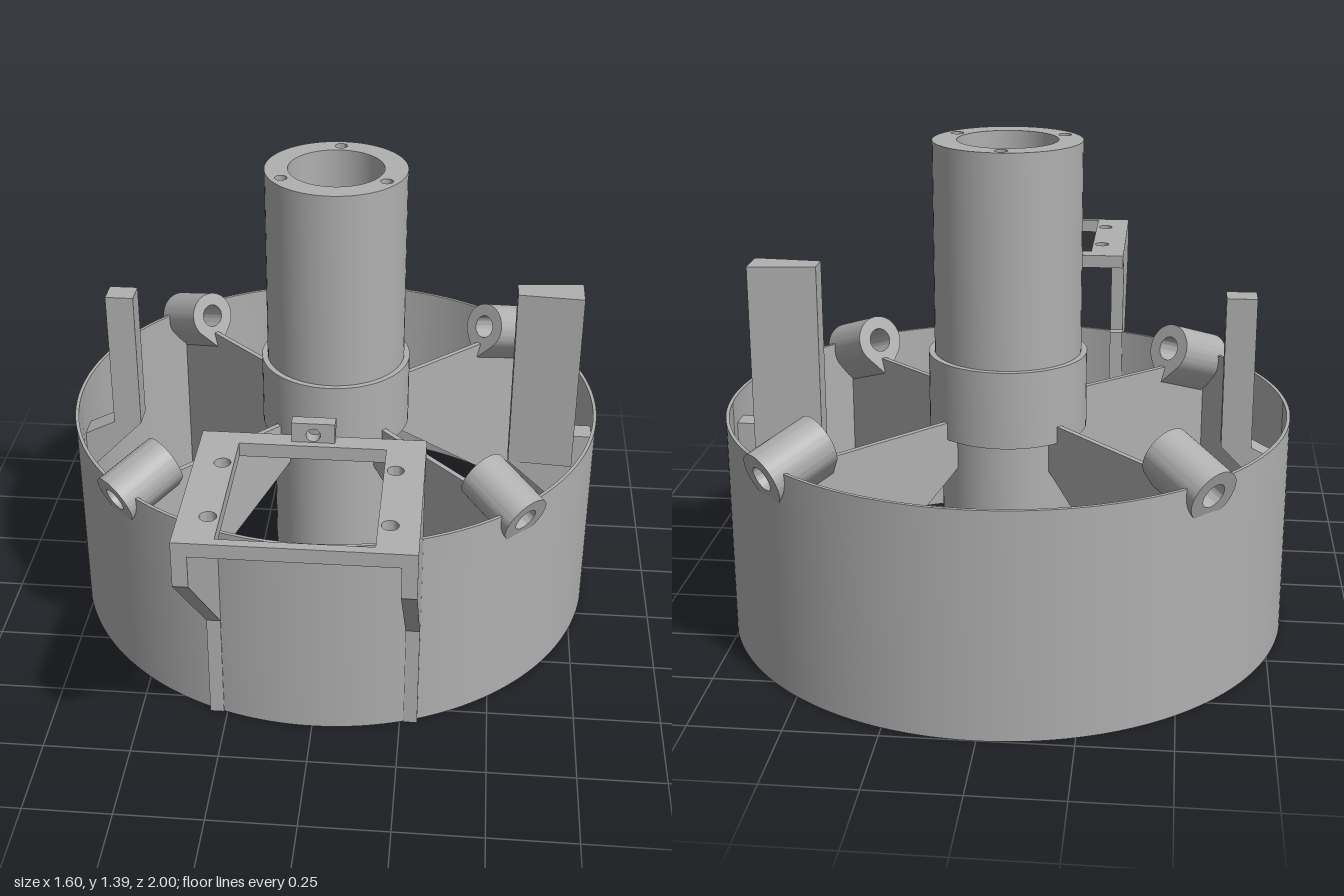
import * as THREE from 'three';
import { toCreasedNormals } from 'three/addons/utils/BufferGeometryUtils.js';

const CZ = -0.2; // z of the drum axis
const WALL_TOP = 0.63;

export function createModel() {
  const grey = new THREE.MeshStandardMaterial({ color: 0xb0b0b0 });
  grey.name = 'plain grey';
  const model = new THREE.Group();
  model.name = 'drumAssembly';

  const add = (name, geometry, parent = model) => {
    const mesh = new THREE.Mesh(toCreasedNormals(geometry, 0.5), grey);
    mesh.name = name;
    parent.add(mesh);
    return mesh;
  };
  const poly = (pts) => new THREE.Shape(pts.map(([x, y]) => new THREE.Vector2(x, y)));
  const rect = (x0, y0, x1, y1) => poly([[x0, y0], [x1, y0], [x1, y1], [x0, y1]]);
  const circle = (x, y, r) => {
    const s = new THREE.Shape();
    s.absarc(x, y, r, 0, Math.PI * 2, false);
    return s;
  };
  const extrude = (shape, depth, curveSegments = 16) =>
    new THREE.ExtrudeGeometry(shape, { depth, bevelEnabled: false, curveSegments });
  // Plan shape drawn in x and z, extruded downward from y = top
  const plan = (shape, top, depth, seg) =>
    extrude(shape, depth, seg).rotateX(Math.PI / 2).translate(0, top, 0);
  // Hollow turned part from outer and inner radius
  const sleeve = (outer, inner, y0, y1, segments = 64) =>
    new THREE.LatheGeometry(
      [[outer, y0], [outer, y1], [inner, y1], [inner, y0], [outer, y0]]
        .map(([r, y]) => new THREE.Vector2(r, y)), segments);

  const drum = new THREE.Group();
  drum.name = 'drum';
  drum.position.z = CZ;
  model.add(drum);

  // Thin outer wall, notched at the four diagonals where the sockets pass through
  const wall = sleeve(0.8, 0.79, 0, WALL_TOP, 240);
  const p = wall.attributes.position;
  for (let i = 0; i < p.count; i++) {
    const deg = THREE.MathUtils.radToDeg(Math.atan2(p.getX(i), p.getZ(i))) + 360;
    if (p.getY(i) > 0.5 && Math.abs((deg % 90) - 45) < 3.2) p.setY(i, 0.56);
  }
  add('outerWall', wall, drum);

  // Central column: thin lower tube, collar and thick upper tube with screw holes
  add('lowerTube', sleeve(0.19, 0.175, 0, 0.6), drum);
  add('collar', sleeve(0.225, 0.16, 0.57, 0.79), drum);
  const columnPlan = circle(0, 0, 0.208);
  columnPlan.holes.push(circle(0, 0, 0.14));
  for (let i = 0; i < 3; i++) {
    const a = -Math.PI / 2 + (i * Math.PI * 2) / 3;
    columnPlan.holes.push(circle(0.174 * Math.cos(a), 0.174 * Math.sin(a), 0.018));
  }
  add('upperTube', plan(columnPlan, 1.39, 0.81, 32), drum);

  // Teardrop socket section: round top with tangents meeting in a point below
  const R = 0.075, POINT = 0.115;
  const t = Math.acos(R / POINT);
  const teardrop = new THREE.Shape();
  teardrop.moveTo(0, -POINT);
  teardrop.absarc(0, 0, R, -Math.PI / 2 + t, Math.PI * 1.5 - t, false);
  teardrop.lineTo(0, -POINT);
  teardrop.holes.push(circle(0, 0, 0.036));

  // Web profile: radius outward, y up
  const web = poly([[0.185, 0.48], [0.795, 0], [0.795, 0.52], [0.64, 0.61], [0.185, 0.62]]);

  for (let i = 0; i < 4; i++) {
    const a = Math.PI / 4 + (i * Math.PI) / 2;
    const socket = add('socket', extrude(teardrop, 0.19, 20).translate(0, 0, -0.095), drum);
    socket.position.set(0.73 * Math.sin(a), 0.6325, 0.73 * Math.cos(a));
    socket.rotation.set(THREE.MathUtils.degToRad(20), a, 0, 'YXZ');
    add('web', extrude(web, 0.016).translate(0, 0, -0.008), drum).rotation.y = a;
  }

  // Narrow post with its gusset on the right wall
  add('narrowPost', extrude(poly([
    [-0.795, 0.34], [-0.61, 0.53], [-0.61, 0.965], [-0.695, 0.965], [-0.695, 0.53], [-0.795, 0.48],
  ]), 0.076).translate(0, 0, -0.038), drum);

  // Wide tapered post with its gusset on the left wall
  add('widePost', plan(poly([
    [0.54, -0.035], [0.735, -0.052], [0.735, 0.052], [0.54, 0.035],
  ]), 1.025, 0.575), drum);
  add('widePostGusset', extrude(poly([
    [0.54, 0.45], [0.795, 0.22], [0.795, 0.55], [0.54, 0.55],
  ]), 0.068).translate(0, 0, -0.034), drum);

  // Front bracket: top frame with four screw holes
  const bracket = new THREE.Group();
  bracket.name = 'frontBracket';
  model.add(bracket);
  const frame = rect(-0.3, 0.475, 0.3, 1);
  frame.holes.push(rect(-0.195, 0.53, 0.195, 0.975));
  for (const x of [-0.225, 0.225]) {
    for (const z of [0.63, 0.88]) frame.holes.push(circle(x, z, 0.022));
  }
  add('topFrame', plan(frame, 0.9, 0.04), 0 || bracket);

  // Triangular cheeks and the ribs that carry them down the wall
  const cheek = poly([[0.56, 0.33], [1, 0.77], [1, 0.865], [0.56, 0.865]]);
  for (const side of [-1, 1]) {
    const plate = extrude(cheek, 0.04).rotateY(-Math.PI / 2).translate(0.02 + side * 0.28, 0, 0);
    add('cheek', plate, bracket);
    const rib = new THREE.BoxGeometry(0.04, 0.63, 0.035);
    add('wallRib', rib.translate(side * 0.28, 0.315, 0.5425), bracket);
  }

  // Small upright tab with a pin hole
  const tab = rect(-0.058, 0.895, 0.058, 0.957);
  tab.holes.push(circle(0, 0.922, 0.019));
  add('pinTab', extrude(tab, 0.035).translate(0, 0, 0.475), bracket);

  return model;
}
